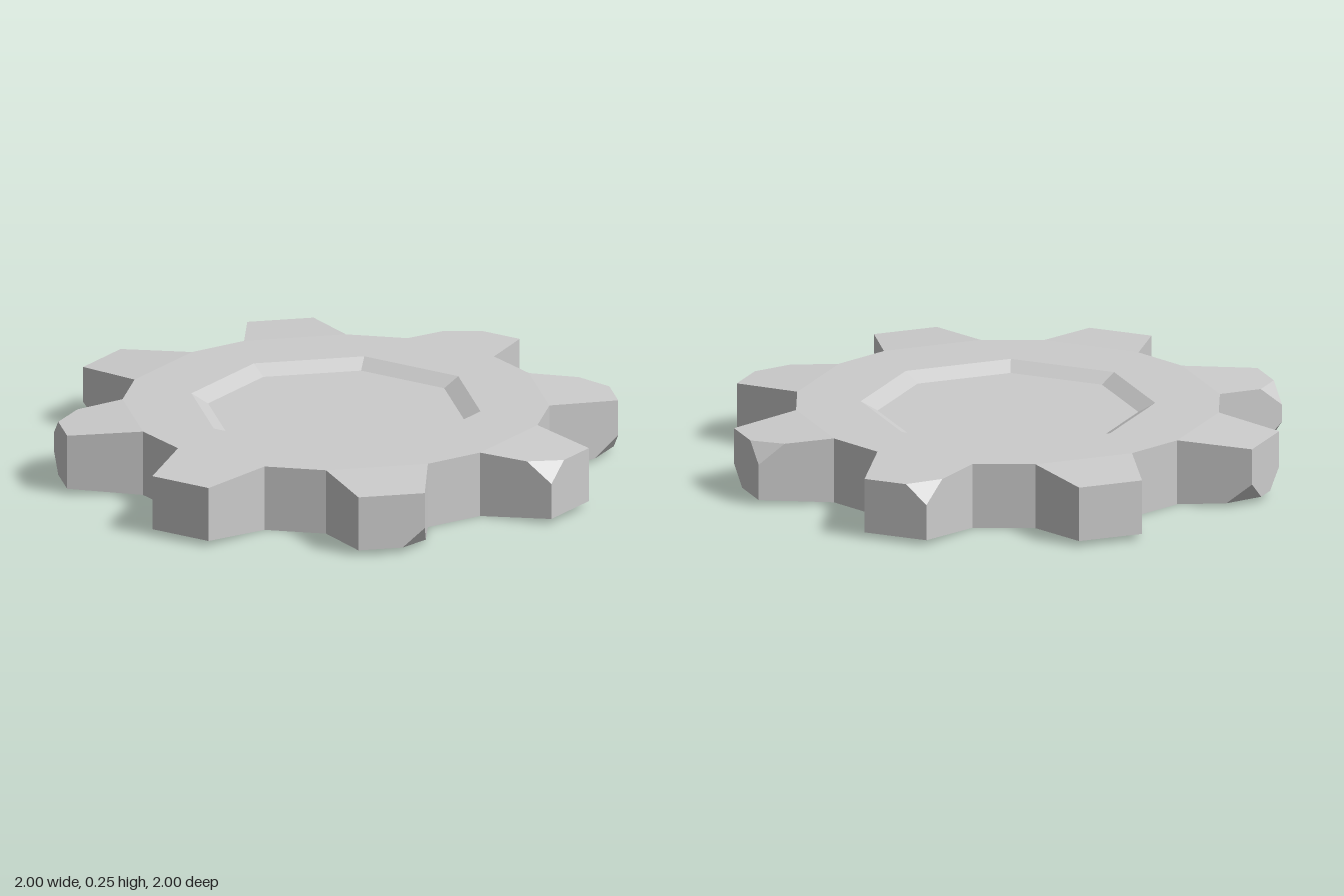
import * as THREE from 'three';

const HEIGHT = 0.245, MID = HEIGHT / 2, STEP = Math.PI / 4;
const TAPER = 0.02, RECESS = 0.035;

// Chipped tooth corners, written as tooth index + side of the tooth
const TOP_CHIPS = ['0-', '1+', '2+', '5-'];
const BOTTOM_CHIPS = ['1-', '4-', '4+', '5-', '7+'];

const polar = (r, a, y) => new THREE.Vector3(r * Math.sin(a), y, r * Math.cos(a));
const toward = (a, b, d) => a.clone().add(b.clone().sub(a).setLength(d));
const level = (s, inset = 0) => MID + s * (MID - inset);

// Collects convex polygons, each turned to face its outward hint
class Faces {
  constructor() { this.data = []; }
  add(points, hint) {
    const normal = new THREE.Vector3();
    points.forEach((p, i) => normal.add(p.clone().cross(points[(i + 1) % points.length])));
    const pts = normal.dot(hint) < 0 ? [...points].reverse() : points;
    for (let i = 1; i < pts.length - 1; i++) {
      for (const p of [pts[0], pts[i], pts[i + 1]]) this.data.push(p.x, p.y, p.z);
    }
  }
  mesh(name, material) {
    const geometry = new THREE.BufferGeometry();
    geometry.setAttribute('position', new THREE.Float32BufferAttribute(this.data, 3));
    geometry.computeVertexNormals();
    const mesh = new THREE.Mesh(geometry, material);
    mesh.name = name;
    return mesh;
  }
}

const ROOT_R = 0.7835, ROOT_HALF = 0.1473;
const TIP_R = 1.038, TIP_HALF = 0.1197;
const RIM_R = 0.54, FLOOR_R = 0.478;

// Central plate: flat ring, sloped recess and floor on both sides, walls between the teeth
function buildBody(material) {
  const faces = new Faces();
  for (const s of [1, -1]) {
    const up = new THREE.Vector3(0, s, 0);
    const y = level(s), floorY = level(s, RECESS);
    const floor = [];
    for (let k = 0; k < 8; k++) {
      const a = k * STEP, b = a + STEP;
      const rimA = polar(RIM_R, a, y), rimB = polar(RIM_R, b, y);
      const rootA = polar(ROOT_R, a + ROOT_HALF, y), rootB = polar(ROOT_R, b - ROOT_HALF, y);
      const floorA = polar(FLOOR_R, a, floorY);
      faces.add([rimA, polar(ROOT_R, a - ROOT_HALF, y), rootA], up);
      faces.add([rimA, rootA, rootB, rimB], up);
      faces.add([rimA, rimB, polar(FLOOR_R, b, floorY), floorA], up);
      floor.push(floorA);
    }
    faces.add(floor, up);
  }
  for (let k = 0; k < 8; k++) {
    const a = k * STEP;
    faces.add([
      polar(ROOT_R, a - ROOT_HALF, HEIGHT), polar(ROOT_R, a + ROOT_HALF, HEIGHT),
      polar(ROOT_R, a + ROOT_HALF, 0), polar(ROOT_R, a - ROOT_HALF, 0),
    ], polar(1, a, 0));
  }
  return faces.mesh('gearBody', material);
}

// One tapered tooth, with optional chips cut from its outer corners
function buildTooth(k, material) {
  const faces = new Faces();
  const mid = (k + 0.5) * STEP;
  const root = (side, s) => polar(ROOT_R, mid + side * (STEP / 2 - ROOT_HALF), level(s));
  const tip = (side, s) => polar(TIP_R, mid + side * TIP_HALF, level(s, TAPER));

  // A corner is a single point, or three points where it is chipped
  const corner = (side, s) => {
    const p = tip(side, s);
    const chips = s > 0 ? TOP_CHIPS : BOTTOM_CHIPS;
    if (!chips.includes(k + (side > 0 ? '+' : '-'))) return { flank: [p], end: [p], cap: [p] };
    const f = toward(p, root(side, s), 0.096);
    const e = toward(p, tip(-side, s), 0.083);
    const v = toward(p, tip(side, -s), 0.07);
    faces.add([f, e, v], polar(1, mid + side * 0.9, s));
    return { flank: [f, v], end: [v, e], cap: [f, e] };
  };
  const tl = corner(-1, 1), tr = corner(1, 1), bl = corner(-1, -1), br = corner(1, -1);
  const rev = (list) => [...list].reverse();

  // Top and bottom
  for (const [s, l, r] of [[1, tl, tr], [-1, bl, br]]) {
    faces.add([root(-1, s), ...l.cap, ...rev(r.cap), root(1, s)], new THREE.Vector3(0, s, 0));
  }
  // Flanks
  for (const [side, t, b] of [[-1, tl, bl], [1, tr, br]]) {
    faces.add([root(side, 1), ...t.flank, ...rev(b.flank), root(side, -1)],
      polar(1, mid + side * Math.PI / 2, 0));
  }
  // Outer end
  faces.add([...tl.end, ...rev(tr.end), ...br.end, ...rev(bl.end)], polar(1, mid, 0));
  return faces.mesh('tooth', material);
}

export function createModel() {
  const group = new THREE.Group();
  group.name = 'gear';
  const material = new THREE.MeshStandardMaterial({ color: 0xcccccc, flatShading: true });
  group.add(buildBody(material));
  for (let k = 0; k < 8; k++) group.add(buildTooth(k, material));
  return group;
}
